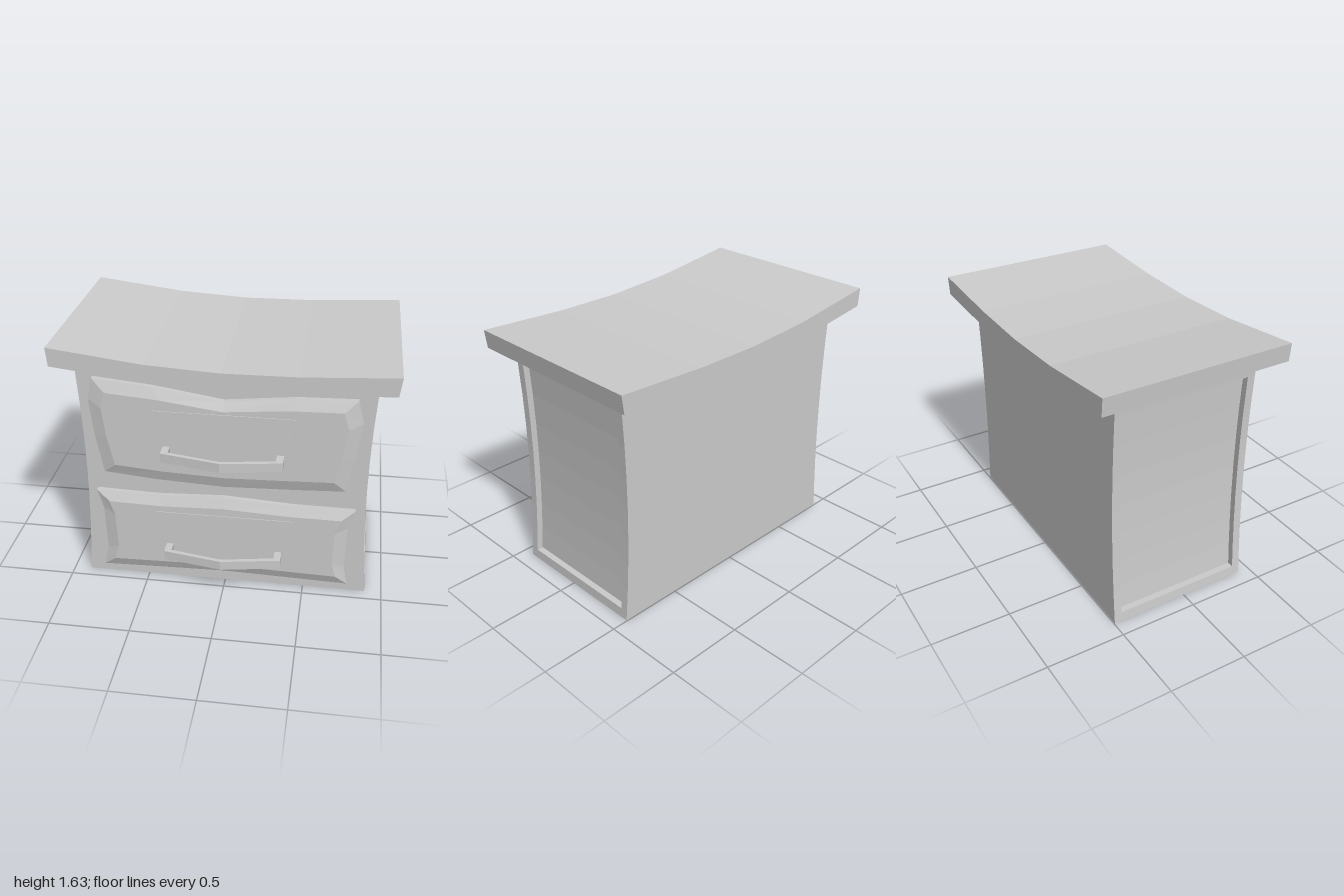
import * as THREE from 'three';

const material = new THREE.MeshStandardMaterial({ color: 0xcccccc, flatShading: true });

function addMesh(parent, name, geometry) {
  const mesh = new THREE.Mesh(geometry, material);
  mesh.name = name;
  parent.add(mesh);
  return mesh;
}

const shapeOf = (points) => new THREE.Shape(points.map(([x, y]) => new THREE.Vector2(x, y)));
const extrude = (points, depth) => new THREE.ExtrudeGeometry(shapeOf(points), { depth, bevelEnabled: false });

// Joins counter-clockwise rings of [x, y, z] along +z and caps both ends.
function loft(rings) {
  const n = rings[0].length;
  const index = [];
  for (let r = 0; r < rings.length - 1; r++) {
    for (let i = 0; i < n; i++) {
      const a = r * n + i, b = r * n + (i + 1) % n;
      index.push(a, b, b + n, a, b + n, a + n);
    }
  }
  const capOf = (ring) => THREE.ShapeUtils.triangulateShape(ring.map(([x, y]) => new THREE.Vector2(x, y)), []);
  const last = (rings.length - 1) * n;
  for (const [a, b, c] of capOf(rings[0])) index.push(c, b, a);
  for (const [a, b, c] of capOf(rings[rings.length - 1])) index.push(last + a, last + b, last + c);
  const geometry = new THREE.BufferGeometry();
  geometry.setAttribute('position', new THREE.Float32BufferAttribute(rings.flat(2), 3));
  geometry.setIndex(index);
  const flat = geometry.toNonIndexed();
  flat.computeVertexNormals();
  return flat;
}

// Waisted cabinet with a recessed panel on each side; its slanted top sits inside the slab.
function cabinetGeometry() {
  const recess = 0.04;
  const rows = [[0, 0], [0.041, 0], [0.041, 1], [0.15, 1], [0.27, 1], [0.4, 1], [0.53, 1],
    [0.66, 1], [0.8, 1], [0.945, 1], [0.945, 0], [1, 0]];
  const columns = [[-0.425, 0], [-0.375, 0], [-0.375, 1], [0.445, 1], [0.445, 0], [0.495, 0]];
  const rings = rows.map(([t, rowInset]) => {
    const half = 0.86 + 0.125 * (t - 0.53) ** 2;
    const point = (side, [v, columnInset]) => {
      const x = side * (half - recess * rowInset * columnInset);
      return [x, v, t * (1.4775 - 0.025 * x)];
    };
    return [...columns.map((c) => point(1, c)), ...[...columns].reverse().map((c) => point(-1, c))];
  });
  return loft(rings).rotateX(-Math.PI / 2);
}

// Drawer front: straight rim, then a wide bevel to a smaller face.
function drawerGeometry(outline, centreY) {
  const rim = (z) => outline.map(([x, y]) => [x, y, z]);
  const face = outline.map(([x, y]) => [x * 0.9, centreY + (y - centreY) * 0.77, 0.48]);
  return loft([rim(0.425), rim(0.455), face]);
}

// Bowed pull with two posts, drawn in plan and given height.
function handleGeometry(height) {
  const plan = [[-0.363, 0.475], [-0.363, 0.572], [0, 0.635], [0.363, 0.572], [0.363, 0.475],
    [0.32, 0.475], [0.32, 0.553], [0, 0.612], [-0.32, 0.553], [-0.32, 0.475]];
  return extrude(plan, height).rotateX(Math.PI / 2).translate(0, height / 2, 0);
}

export function createModel() {
  const model = new THREE.Group();
  model.name = 'nightstand';

  addMesh(model, 'cabinet', cabinetGeometry());

  // Sagging, uneven top slab
  const slab = [[-0.99, 1.515], [-0.44, 1.45], [0, 1.425], [0.44, 1.43], [0.985, 1.455],
    [1, 1.57], [0.44, 1.54], [0, 1.535], [-0.44, 1.56], [-1, 1.63]];
  addMesh(model, 'topSlab', extrude(slab, 1.2).translate(0, 0, -0.635));

  // Drawer outlines run counter-clockwise from the top left corner
  const drawers = [
    {
      name: 'upperDrawer', centreY: 1.06, plateY: 1.05, handleY: 0.963, tilt: -0.012,
      outline: [[-0.78, 1.405], [-0.81, 1.27], [-0.785, 1.03], [-0.74, 0.775], [-0.42, 0.745], [0, 0.725],
        [0.42, 0.74], [0.735, 0.755], [0.775, 0.98], [0.81, 1.22], [0.775, 1.36], [0.42, 1.35],
        [0, 1.305], [-0.42, 1.37]],
    },
    {
      name: 'lowerDrawer', centreY: 0.355, plateY: 0.345, handleY: 0.263, tilt: 0,
      outline: [[-0.8, 0.637], [-0.765, 0.51], [-0.755, 0.2], [-0.785, 0.07], [-0.42, 0.08], [0, 0.09],
        [0.42, 0.08], [0.78, 0.07], [0.755, 0.2], [0.76, 0.49], [0.8, 0.617], [0.42, 0.62],
        [0, 0.645], [-0.42, 0.627]],
    },
  ];
  for (const d of drawers) {
    const drawer = new THREE.Group();
    drawer.name = d.name;
    addMesh(drawer, 'drawerFront', drawerGeometry(d.outline, d.centreY));
    // Thin plate behind the pull
    addMesh(drawer, 'backPlate', new THREE.BoxGeometry(0.85, 0.36, 0.01)).position.set(0, d.plateY, 0.48);
    const handle = addMesh(drawer, 'handle', handleGeometry(0.06));
    handle.position.y = d.handleY;
    handle.rotation.z = d.tilt;
    model.add(drawer);
  }
  return model;
}
